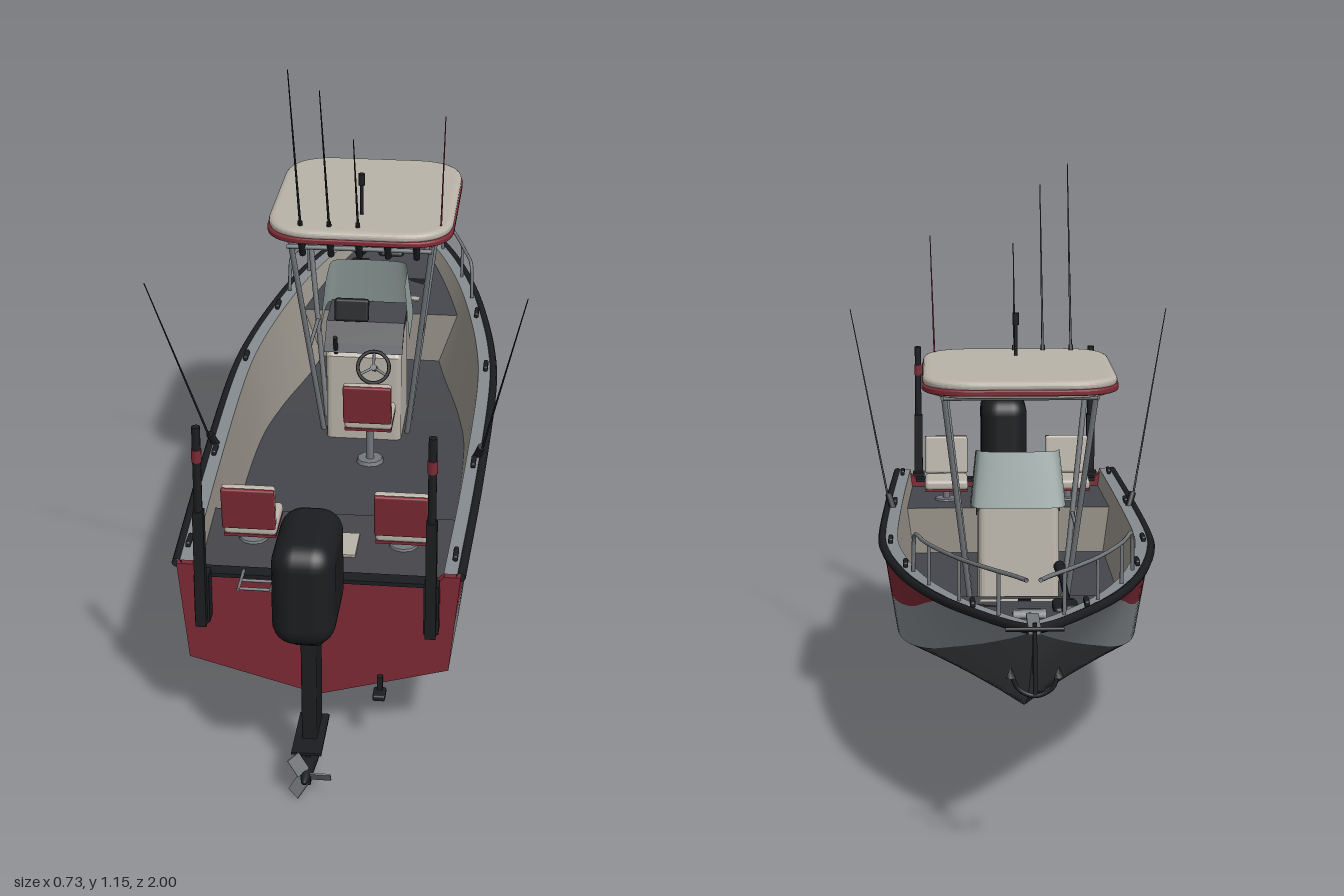
import * as THREE from 'three';
import { RoundedBoxGeometry } from 'three/addons/geometries/RoundedBoxGeometry.js';

const V = (x, y, z) => new THREE.Vector3(x, y, z);
const mat = (color) => new THREE.MeshStandardMaterial({ color, side: THREE.DoubleSide });
const RED = mat(0x7d2a35), BEIGE = mat(0xb9b3a8), DECK = mat(0x45464b), BOTTOM = mat(0x46484b),
  GREY = mat(0x858b8f), BLACK = mat(0x1c1d20), METAL = mat(0x74787c), GLASS = mat(0x98a6a3), LINER = mat(0x98938a);

// Hull stations: z, sheer x, sheer y, chine x, chine y, keel y, stripe height, floor half width
const ST = [
  [0.76, 0.265, 0.365, 0.245, 0.165, 0.097, 0.47, 0.215],
  [0.4, 0.277, 0.37, 0.255, 0.17, 0.097, 0.46, 0.225],
  [0, 0.283, 0.38, 0.255, 0.187, 0.098, 0.45, 0.225],
  [-0.2, 0.27, 0.388, 0.235, 0.205, 0.103, 0.47, 0.2],
  [-0.4, 0.237, 0.398, 0.19, 0.245, 0.132, 0.56, 0.15],
  [-0.55, 0.2, 0.407, 0.14, 0.29, 0.175, 0.75, 0.11],
  [-0.69, 0.15, 0.415, 0.09, 0.335, 0.235, 1, 0.07],
  [-0.82, 0.085, 0.423, 0.045, 0.38, 0.32, 1, 0.03],
  [-0.9, 0.037, 0.428, 0.018, 0.41, 0.387, 1, 0.01],
  [-0.94, 0.002, 0.431, 0.001, 0.43, 0.428, 1, 0],
];
const line = (pts) => {
  const c = new THREE.CatmullRomCurve3(pts, false, 'catmullrom', 0.5);
  return (t) => c.getPoint(t);
};
const mix = (a, b, f) => (t) => a(t).lerp(b(t), typeof f === 'function' ? f(t) : f);
const mid = (a) => (t) => a(t).setX(0);
const sheer = line(ST.map((s) => V(s[1], s[2], s[0])));
const chine = line(ST.map((s) => V(s[3], s[4], s[0])));
const keel = line(ST.map((s) => V(0, s[5], s[0])));
const stripeF = line(ST.map((s) => V(s[6], 0, 0)));
const stripe = mix(chine, sheer, (t) => Math.min(1, stripeF(t).x));
const inner = line(ST.map((s) => V(Math.max(0, s[1] - 0.032), s[2] + 0.006, s[0])));
const foot = line(ST.map((s) => V(s[7], Math.max(0.225, s[5] + (s[4] - s[5]) * s[7] / s[3] + 0.012), s[0])));
const deckEdge = mix(foot, inner, 0.72);

// Ruled surface between two curves
function loft(a, b, t0 = 0, t1 = 1, n = 60, m = 4) {
  const pos = [], idx = [];
  for (let i = 0; i <= n; i++) {
    const t = t0 + (t1 - t0) * i / n, p = a(t), q = b(t);
    for (let j = 0; j <= m; j++) {
      pos.push(...p.clone().lerp(q, j / m).toArray());
      const k = i * (m + 1) + j;
      if (i < n && j < m) idx.push(k, k + 1, k + m + 1, k + 1, k + m + 2, k + m + 1);
    }
  }
  const g = new THREE.BufferGeometry();
  g.setAttribute('position', new THREE.Float32BufferAttribute(pos, 3));
  g.setIndex(idx);
  g.computeVertexNormals();
  return g;
}

export function createModel() {
  const model = new THREE.Group();
  const add = (name, geo, m, x = 0, y = 0, z = 0, parent = model) => {
    const o = new THREE.Mesh(geo, m);
    o.name = name;
    o.position.set(x, y, z);
    parent.add(o);
    return o;
  };
  const both = (name, geo, m) => [1, -1].forEach((s) => { add(name, geo, m).scale.x = s; });
  const box = (name, m, w, h, d, x, y, z, p) => add(name, new THREE.BoxGeometry(w, h, d), m, x, y, z, p);
  const soft = (name, m, w, h, d, r, x, y, z, p) => add(name, new RoundedBoxGeometry(w, h, d, 4, r), m, x, y, z, p);
  const rod = (name, m, a, b, r, r2 = r, p = model) => {
    const d = b.clone().sub(a), c = a.clone().lerp(b, 0.5);
    const o = add(name, new THREE.CylinderGeometry(r2, r, d.length(), 10), m, c.x, c.y, c.z, p);
    o.quaternion.setFromUnitVectors(V(0, 1, 0), d.normalize());
    return o;
  };
  const tube = (name, m, pts, r, p) =>
    add(name, new THREE.TubeGeometry(new THREE.CatmullRomCurve3(pts), 40, r, 8), m, 0, 0, 0, p);
  // Outline in (z, y), extruded across x
  const sideExtrude = (name, m, pts, w, x = 0, bevel = 0) => {
    const g = new THREE.ExtrudeGeometry(new THREE.Shape(pts.map((p) => new THREE.Vector2(...p))),
      { depth: w, bevelEnabled: bevel > 0, bevelSize: bevel, bevelThickness: bevel, bevelSegments: 3 });
    return add(name, g.rotateY(-Math.PI / 2), m, x + w / 2);
  };

  // Hull shell, gunwale and liner
  both('hullBottom', loft(keel, chine), BOTTOM);
  both('hullSide', loft(chine, stripe), GREY);
  both('hullStripe', loft(stripe, sheer, 0, 6 / 9), RED);
  both('gunwale', loft((t) => sheer(t).add(V(0, 0.006, 0)), inner), GREY);
  both('innerLiner', loft(inner, foot), LINER);
  const railPts = Array.from({ length: 41 }, (_, i) => sheer(i / 40));
  both('rubRail', new THREE.TubeGeometry(new THREE.CatmullRomCurve3(railPts), 80, 0.009, 8), BLACK);

  // Cockpit floor, raised decks and their bulkheads
  both('cockpitFloor', loft(mid(foot), foot, 0, 0.5), DECK);
  both('aftDeck', loft(mid(deckEdge), deckEdge, 0, 0.086, 10), DECK);
  both('bowDeck', loft(mid(deckEdge), deckEdge, 0.474, 1, 40), DECK);
  for (const t of [0.086, 0.474]) {
    const d = deckEdge(t), f = foot(t);
    both('bulkhead', loft((u) => V(d.x * u, d.y, d.z), (u) => V(f.x * u, f.y, d.z), 0, 1, 1, 1), LINER);
  }

  // Transom
  const tr = new THREE.Shape([[0, 0.097], [0.245, 0.165], [0.265, 0.365], [0.235, 0.365], [0.215, 0.345],
    [-0.215, 0.345], [-0.235, 0.365], [-0.265, 0.365], [-0.245, 0.165]].map((p) => new THREE.Vector2(...p)));
  add('transom', new THREE.ExtrudeGeometry(tr, { depth: 0.02, bevelEnabled: false }), RED, 0, 0, 0.742);
  box('transomCap', BLACK, 0.44, 0.008, 0.03, 0, 0.347, 0.752);

  // Console with dash, screen, wheel and windshield
  sideExtrude('console', BEIGE, [[-0.07, 0.225], [-0.065, 0.42], [-0.1, 0.465], [-0.2, 0.475], [-0.225, 0.225]], 0.14, 0, 0.012);
  sideExtrude('dash', DECK, [[-0.05, 0.435], [-0.06, 0.452], [-0.1, 0.488], [-0.2, 0.494], [-0.2, 0.475], [-0.1, 0.472]], 0.17);
  const shield = (w, y0, y1, z0, z1) => line([V(w, y0, z0), V(w, (y0 + y1) / 2, (z0 + z1) / 2), V(w * 0.97, y1, z1 + 0.02),
    V(w * 0.8, y1, z1), V(0, y1, z1 - 0.006), V(-w * 0.8, y1, z1), V(-w * 0.97, y1, z1 + 0.02),
    V(-w, (y0 + y1) / 2, (z0 + z1) / 2), V(-w, y0, z0)]);
  add('windshield', loft(shield(0.098, 0.462, 0.485, -0.075, -0.215), shield(0.086, 0.582, 0.597, -0.085, -0.185)), GLASS);
  soft('screen', BLACK, 0.075, 0.05, 0.02, 0.006, -0.03, 0.515, -0.1).rotation.x = -0.25;
  const wheel = new THREE.Group();
  wheel.name = 'steeringWheel';
  wheel.position.set(0.025, 0.415, -0.025);
  wheel.rotation.x = -0.5;
  model.add(wheel);
  add('wheelRim', new THREE.TorusGeometry(0.034, 0.004, 8, 28), BLACK, 0, 0, 0, wheel);
  for (let i = 0; i < 3; i++) {
    const a = Math.PI / 2 + i * Math.PI * 2 / 3;
    rod('wheelSpoke', METAL, V(0, 0, -0.005), V(0.033 * Math.cos(a), 0.033 * Math.sin(a), 0), 0.003, 0.003, wheel);
  }
  rod('wheelColumn', METAL, V(0, 0, 0), V(0, 0, -0.045), 0.007, 0.007, wheel);
  rod('throttle', BLACK, V(-0.06, 0.43, -0.06), V(-0.06, 0.475, -0.04), 0.005);

  // Hard top
  const roof = (name, m, w, d, h, y, bevel) => {
    const r = 0.095, a = w / 2, b = d / 2, s = new THREE.Shape();
    s.moveTo(-a + r, -b).lineTo(a - r, -b).quadraticCurveTo(a, -b, a, -b + r).lineTo(a, b - r).quadraticCurveTo(a, b, a - r, b);
    s.lineTo(-a + r, b).quadraticCurveTo(-a, b, -a, b - r).lineTo(-a, -b + r).quadraticCurveTo(-a, -b, -a + r, -b);
    const g = new THREE.ExtrudeGeometry(s, { depth: h, curveSegments: 12, bevelEnabled: true, bevelSize: bevel, bevelThickness: bevel * 0.6, bevelSegments: 4 });
    add(name, g.rotateX(-Math.PI / 2), m, 0, y, -0.14);
  };
  roof('roofUnderside', LINER, 0.35, 0.42, 0.005, 0.737, 0.005);
  roof('roofRim', RED, 0.38, 0.455, 0.006, 0.745, 0.006);
  roof('roofTop', BEIGE, 0.36, 0.435, 0.004, 0.758, 0.014);

  // Hard top frame
  for (const s of [1, -1]) {
    rod('roofLeg', METAL, V(s * 0.093, 0.225, -0.1), V(s * 0.152, 0.73, 0), 0.006);
    rod('roofLeg', METAL, V(s * 0.093, 0.225, -0.165), V(s * 0.152, 0.73, -0.275), 0.006);
    rod('roofSideBar', METAL, V(s * 0.152, 0.727, 0.03), V(s * 0.152, 0.727, -0.3), 0.006);
    rod('legBrace', METAL, V(s * 0.118, 0.44, -0.058), V(s * 0.118, 0.44, -0.212), 0.004);
  }
  for (const [y, z] of [[0.727, 0.03], [0.711, 0.03], [0.727, -0.14], [0.727, -0.3]])
    rod('roofCrossBar', METAL, V(-0.152, y, z), V(0.152, y, z), 0.005);

  // Rod holders, fishing rods and aerials
  for (let i = -2; i <= 2; i++) rod('rodHolder', BLACK, V(i * 0.06, 0.692, 0.022), V(i * 0.06, 0.742, 0.046), 0.007, 0.008);
  for (const [x, y, z] of [[-0.12, 1.155, 0.215], [-0.06, 1.11, 0.2], [0, 0.99, 0.14]]) {
    rod('fishingRod', BLACK, V(x, 0.71, 0.03), V(x, y, z), 0.003, 0.001);
    rod('rodGrip', BLACK, V(x, 0.7, 0.028), V(x, 0.78, 0.06), 0.005);
  }
  rod('aerial', RED, V(0.17, 0.76, 0.03), V(0.178, 1.015, 0.05), 0.002, 0.001);
  rod('mastLight', BLACK, V(0, 0.765, -0.02), V(0, 0.84, -0.02), 0.004);
  rod('mastLightLamp', BLACK, V(0, 0.835, -0.02), V(0, 0.86, -0.02), 0.007);
  for (const s of [1, -1]) {
    rod('outrigger', BLACK, V(s * 0.272, 0.37, 0.295), V(s * 0.365, 0.805, 0.475), 0.0025, 0.001);
    rod('outriggerBase', BLACK, V(s * 0.265, 0.37, 0.29), V(s * 0.277, 0.405, 0.307), 0.008);
  }

  // Swivel seats
  const seat = (x, floor, top, z) => {
    const g = new THREE.Group();
    g.name = 'seat';
    g.position.set(x, 0, z);
    model.add(g);
    rod('seatBase', METAL, V(0, floor, 0), V(0, floor + 0.008, 0), 0.03, 0.027, g);
    rod('seatPedestal', METAL, V(0, floor, 0), V(0, top, 0), 0.009, 0.009, g);
    soft('seatCushion', BEIGE, 0.102, 0.024, 0.1, 0.009, 0, top, 0, g);
    box('seatTrim', RED, 0.1, 0.006, 0.098, 0, top - 0.012, 0, g);
    const back = new THREE.Group();
    back.position.set(0, top + 0.055, 0.058);
    back.rotation.x = 0.14;
    g.add(back);
    soft('seatBack', BEIGE, 0.102, 0.09, 0.016, 0.006, 0, 0, -0.004, back);
    soft('seatBackShell', RED, 0.102, 0.09, 0.01, 0.004, 0, 0, 0.007, back);
  };
  seat(0.145, 0.328, 0.374, 0.59);
  seat(-0.145, 0.328, 0.374, 0.59);
  seat(0.025, 0.225, 0.335, 0.045);

  // Deck hatches
  for (const [w, d, y, z] of [[0.115, 0.085, 0.331, 0.605], [0.17, 0.085, 0.366, -0.545], [0.08, 0.05, 0.376, -0.66]]) {
    box('hatch', BEIGE, w, 0.01, d, 0, y, z);
    box('hatchLatch', BLACK, 0.025, 0.004, 0.008, 0, y + 0.006, z + d * 0.32);
  }

  // Stowed trolling motor, pedal and windlass
  rod('trollingShaft', BLACK, V(-0.075, 0.4, -0.38), V(-0.075, 0.405, -0.72), 0.006);
  soft('trollingMount', BLACK, 0.045, 0.03, 0.08, 0.008, -0.07, 0.385, -0.645);
  soft('trollingHead', BLACK, 0.03, 0.028, 0.06, 0.01, -0.075, 0.41, -0.73);
  rod('trollingPod', BLACK, V(-0.075, 0.4, -0.365), V(-0.075, 0.4, -0.43), 0.012, 0.009);
  soft('footPedal', BLACK, 0.055, 0.015, 0.035, 0.005, 0.075, 0.375, -0.605).rotation.y = -0.4;
  soft('windlass', BLACK, 0.06, 0.035, 0.05, 0.01, 0, 0.39, -0.73);
  rod('windlassDrum', METAL, V(-0.03, 0.405, -0.76), V(0.03, 0.405, -0.76), 0.014);
  rod('anchorLine', METAL, V(0, 0.41, -0.76), V(0, 0.44, -0.95), 0.004);

  // Bow roller and anchor
  box('bowRoller', METAL, 0.022, 0.012, 0.1, 0, 0.437, -0.925);
  rod('anchorShank', BLACK, V(0, 0.455, -0.985), V(0, 0.33, -0.992), 0.004);
  rod('anchorStock', BLACK, V(-0.05, 0.445, -0.99), V(0.05, 0.445, -0.99), 0.004);
  tube('anchorArms', BLACK, [V(-0.04, 0.365, -0.992), V(-0.028, 0.34, -0.992), V(0, 0.328, -0.992), V(0.028, 0.34, -0.992), V(0.04, 0.365, -0.992)], 0.004);
  for (const s of [1, -1]) add('anchorFluke', new THREE.ConeGeometry(0.009, 0.02, 4), BLACK, s * 0.041, 0.37, -0.992);

  // Bow rails and cleats
  for (const s of [1, -1]) {
    const at = (t, h) => { const p = sheer(t); return V(s * Math.max(p.x - 0.016, 0.012), p.y + h, p.z); };
    const ts = [0.48, 0.54, 0.61, 0.69, 0.77, 0.86, 0.96];
    tube('bowRail', METAL, [at(0.47, 0.01), at(0.474, 0.06), ...ts.map((t) => at(t, 0.085))], 0.004);
    for (const t of [0.56, 0.68, 0.8]) rod('railPost', METAL, at(t, 0), at(t, 0.085), 0.0035);
    for (const t of [0.02, 0.13, 0.27, 0.42, 0.72]) soft('cleat', BLACK, 0.01, 0.012, 0.04, 0.004, ...at(t, 0.012).toArray());
  }

  // Shallow water anchor poles, ladder and sounder
  for (const s of [1, -1]) {
    box('polePlate', BLACK, 0.028, 0.1, 0.03, s * 0.213, 0.31, 0.778);
    box('poleSleeve', BLACK, 0.02, 0.24, 0.02, s * 0.213, 0.38, 0.8);
    rod('pole', BLACK, V(s * 0.213, 0.26, 0.8), V(s * 0.213, 0.67, 0.8), 0.008);
    rod('poleBand', RED, V(s * 0.213, 0.6, 0.8), V(s * 0.213, 0.625, 0.8), 0.0095);
    rod('ladderRail', METAL, V(-0.11 + s * 0.03, 0.35, 0.75), V(-0.11 + s * 0.03, 0.35, 0.82), 0.003);
  }
  for (const z of [0.785, 0.815]) rod('ladderRung', METAL, V(-0.14, 0.35, z), V(-0.08, 0.35, z), 0.003);
  box('sounderArm', BLACK, 0.01, 0.035, 0.012, 0.117, 0.13, 0.768);
  soft('sounder', BLACK, 0.024, 0.012, 0.035, 0.004, 0.117, 0.115, 0.778);

  // Outboard motor
  soft('motorCowl', BLACK, 0.114, 0.2, 0.198, 0.042, 0, 0.435, 0.9);
  soft('motorBracket', BLACK, 0.075, 0.09, 0.07, 0.01, 0, 0.32, 0.79);
  sideExtrude('motorLeg', BLACK, [[0.82, 0.36], [0.905, 0.36], [0.9, 0.09], [0.825, 0.09]], 0.02, 0, 0.004);
  soft('motorCollar', BLACK, 0.06, 0.05, 0.11, 0.012, 0, 0.325, 0.87);
  box('antiVentilationPlate', BLACK, 0.055, 0.005, 0.13, 0, 0.09, 0.885);
  sideExtrude('skeg', BLACK, [[0.845, 0.09], [0.92, 0.09], [0.925, 0.005], [0.89, 0.005]], 0.008);
  const pod = [[0, 0], [0.008, 0.006], [0.015, 0.025], [0.017, 0.06], [0.012, 0.115], [0.006, 0.145], [0, 0.15]];
  add('gearCase', new THREE.LatheGeometry(pod.map((p) => new THREE.Vector2(...p)), 16), BLACK, 0, 0.05, 0.835).rotation.x = Math.PI / 2;
  for (let i = 0; i < 3; i++) {
    const hub = new THREE.Group();
    hub.name = 'propellerBlade';
    hub.position.set(0, 0.05, 0.96);
    hub.rotation.z = i * Math.PI * 2 / 3 - Math.PI / 2;
    model.add(hub);
    box('blade', METAL, 0.026, 0.038, 0.003, 0, 0.027, 0, hub).rotation.y = 0.6;
  }
  return model;
}
